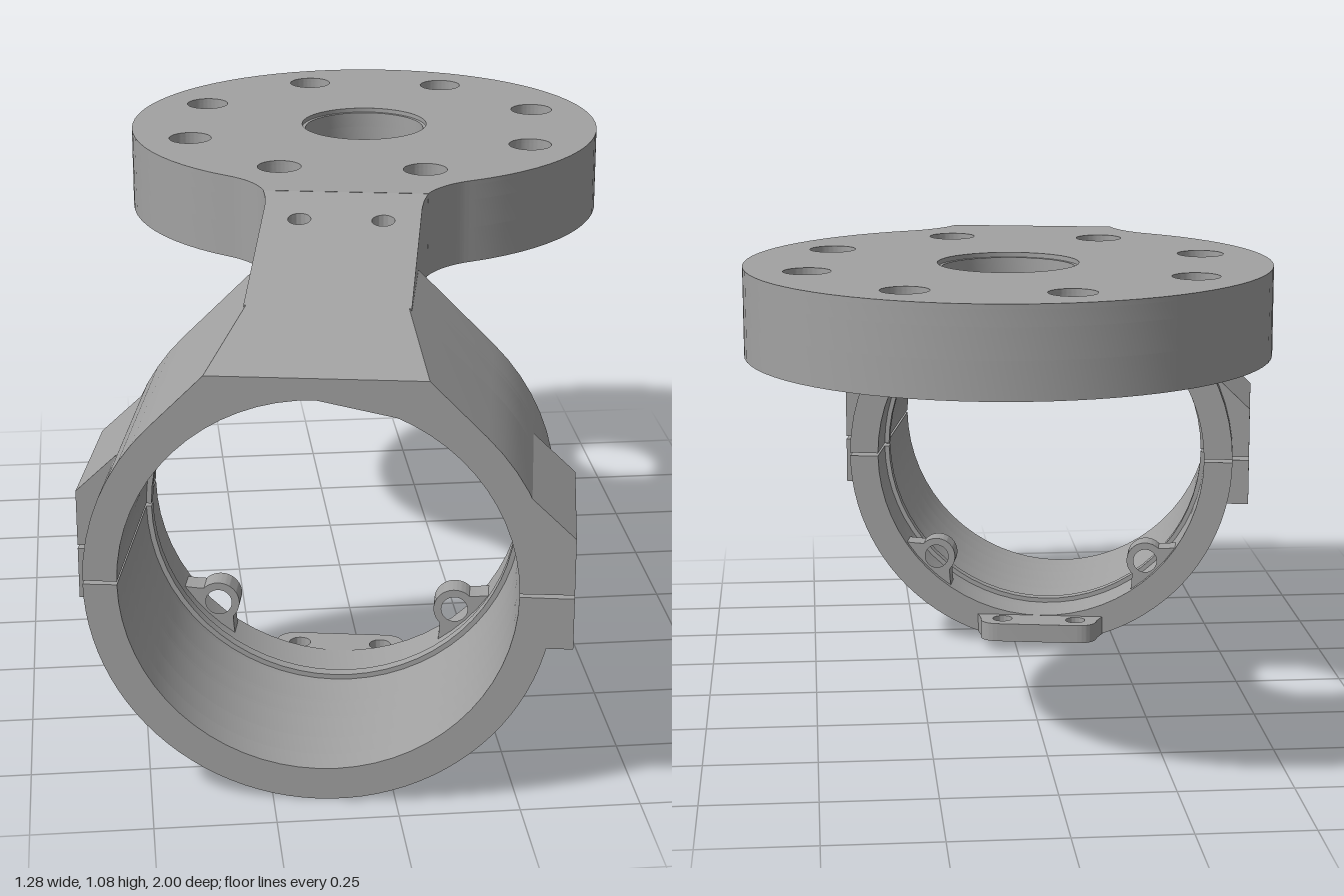
import * as THREE from 'three';
import { toCreasedNormals } from 'three/addons/utils/BufferGeometryUtils.js';

// Local frame: origin under the disc centre, z runs along the clamp axis.
const CY = 0.475, R = 0.475, RI = 0.405, LIP = 0.394, GAP = 0.004;
const BACK = 0.82, FRONT = 1.372, BEND = 1.097, ARM_W = 0.172;
const topAt = z => Math.min(1.08, 0.925 + 0.2 * (FRONT - z));

const material = new THREE.MeshStandardMaterial({ color: 0xa2a2a2 });
material.name = 'grey plastic';

const polygon = pts => new THREE.Shape(pts.map(p => new THREE.Vector2(p[0], p[1])));

function addHole(shape, x, y, r) {
  const h = new THREE.Path();
  h.absarc(x, y, r, 0, Math.PI * 2, true);
  shape.holes.push(h);
}

function add(parent, geometry, name) {
  const m = new THREE.Mesh(toCreasedNormals(geometry, 0.45), material);
  m.name = name;
  parent.add(m);
  return m;
}

// Extrude a cross-section along the clamp axis
function alongAxis(shape, z0, z1) {
  return new THREE.ExtrudeGeometry(shape, { depth: z1 - z0, bevelEnabled: false, curveSegments: 24 })
    .translate(0, 0, z0);
}

// Extrude a plan outline (x, z) downwards from y1 to y0
function plan(shape, y0, y1) {
  return new THREE.ExtrudeGeometry(shape, { depth: y1 - y0, bevelEnabled: false, curveSegments: 32 })
    .rotateX(Math.PI / 2).translate(0, y1, 0);
}

function arc(r, a0, a1, n) {
  return Array.from({ length: n + 1 }, (_, i) => {
    const a = a0 + (a1 - a0) * i / n;
    return [r * Math.cos(a), CY + r * Math.sin(a)];
  });
}

// Disc outline with fillets flowing into the arm
function discOutline() {
  const f = 0.2, r = 0.56, cx = ARM_W + f, cz = Math.sqrt((r + f) ** 2 - cx ** 2);
  const t = Math.atan2(cz, cx);
  const end = Math.PI + Math.asin((cz - 0.6) / f);
  const s = new THREE.Shape();
  s.absarc(0, 0, r, Math.PI - t, Math.PI * 2 + t, false);
  s.absarc(cx, cz, f, t + Math.PI, end, true);
  s.absarc(-cx, cz, f, Math.PI - end, -t, true);
  return s;
}

function buildDisc(parent) {
  const layers = [
    // y0, y1, centre hole, screw hole
    [1.07, 1.08, 0.15, 0.05],
    [1.035, 1.07, 0.142, 0.05],
    [0.97, 1.035, 0.142, 0.03],
  ];
  for (const [y0, y1, rc, rs] of layers) {
    const s = discOutline();
    addHole(s, 0, 0, rc);
    for (let i = 0; i < 8; i++) {
      const a = (i + 0.5) * Math.PI / 4;
      addHole(s, 0.435 * Math.cos(a), 0.435 * Math.sin(a), rs);
    }
    add(parent, plan(s, y0, y1), 'discPlate');
  }
  const rim = discOutline();
  addHole(rim, 0, 0, 0.53);
  add(parent, plan(rim, 0.89, 0.97), 'discRim');
}

// Arm: plan outline whose top follows the slope
function armPiece(parent, shape, bottomAt) {
  const g = plan(shape, 0, 1), p = g.attributes.position;
  for (let i = 0; i < p.count; i++) {
    p.setY(i, p.getY(i) > 0.5 ? topAt(p.getZ(i)) : bottomAt(p.getZ(i)));
  }
  g.computeVertexNormals();
  add(parent, g, 'arm');
}

function buildArm(parent) {
  const w = ARM_W;
  const neck = polygon([[-w, BACK], [-w, 0.663], [-w - 0.003, 0.63], [-w - 0.01, 0.6],
    [w + 0.01, 0.6], [w + 0.003, 0.63], [w, 0.663], [w, BACK]]);
  for (const x of [-0.091, 0.091]) addHole(neck, x, 0.727, 0.025);
  armPiece(parent, neck, z => 0.89 - 0.015 * (z - 0.6) / (BACK - 0.6));
  armPiece(parent, polygon([[-w, BACK], [w, BACK], [w, BEND], [-w, BEND]]), () => 0.93);
}

const innerRadius = z => (z > 0.94 && z < 0.965 ? LIP : RI);

// Upper half: round sides, 45 degree shoulders, sloping flat top
function buildUpperClamp(parent) {
  const cuts = [BACK, 0.94, 0.965, BEND, FRONT], e = GAP / R, q = Math.PI / 4;
  const sh = 0.98 - CY, su = R * Math.SQRT2 - sh;
  for (let i = 0; i + 1 < cuts.length; i++) {
    const ri = innerRadius((cuts[i] + cuts[i + 1]) / 2);
    const s = polygon([...arc(R, e, q, 8), [su, CY + sh], [-su, CY + sh],
      ...arc(R, 3 * q, Math.PI - e, 8), ...arc(ri, Math.PI - e, e, 32)]);
    const g = alongAxis(s, cuts[i], cuts[i + 1]), p = g.attributes.position;
    for (let k = 0; k < p.count; k++) {
      const drop = p.getY(k) - topAt(p.getZ(k));
      if (drop > 0) {
        p.setY(k, p.getY(k) - drop);
        p.setX(k, p.getX(k) + Math.sign(p.getX(k)) * drop);
      }
    }
    g.computeVertexNormals();
    add(parent, g, 'upperClamp');
  }
}

const BLOCKS = [
  { side: 1, z0: 1.017, z1: FRONT },
  { side: -1, z0: 0.853, z1: 1.197 },
];

// Lower half, with screw clearance notches below the blocks
function buildLowerClamp(parent) {
  const notches = [];
  for (const b of BLOCKS) {
    for (const d of [-0.08, 0.08]) {
      const c = (b.z0 + b.z1) / 2 + d;
      notches.push({ side: b.side, z0: c - 0.036, z1: c + 0.036 });
    }
  }
  const cuts = [BACK, 0.94, 0.965, FRONT, ...notches.flatMap(n => [n.z0, n.z1])].sort((a, b) => a - b);
  const e = GAP / R;
  for (let i = 0; i + 1 < cuts.length; i++) {
    if (cuts[i + 1] - cuts[i] < 1e-4) continue;
    const mid = (cuts[i] + cuts[i + 1]) / 2;
    const outer = arc(R, Math.PI + e, Math.PI * 2 - e, 48);
    for (const n of notches) {
      if (mid < n.z0 || mid > n.z1) continue;
      for (const p of outer) if (p[1] < 0.37 && p[0] * n.side > 0.43) p[0] = 0.43 * n.side;
    }
    const s = polygon([...outer, ...arc(innerRadius(mid), Math.PI * 2 - e, Math.PI + e, 32)]);
    add(parent, alongAxis(s, cuts[i], cuts[i + 1]), 'lowerClamp');
  }
}

// Screw blocks on both sides of the split
function buildBlocks(parent) {
  const upper = [[0.44, CY + GAP], [0.515, CY + GAP], [0.515, 0.6], [0.42, 0.69], [0.41, 0.66]];
  const lower = [[0.42, 0.36], [0.515, 0.36], [0.515, CY - GAP], [0.44, CY - GAP]];
  for (const b of BLOCKS) {
    for (const [pts, name] of [[upper, 'upperBlock'], [lower, 'lowerBlock']]) {
      const s = polygon(pts.map(([x, y]) => [x * b.side, y]));
      add(parent, alongAxis(s, b.z0, b.z1), name);
    }
  }
}

// Four screw ears inside the rear opening
function buildEars(parent) {
  for (let i = 0; i < 4; i++) {
    const s = new THREE.Shape();
    s.moveTo(0.415, -0.1);
    s.quadraticCurveTo(0.385, -0.06, 0.37, -0.046);
    s.absarc(0.37, 0, 0.046, -Math.PI / 2, Math.PI / 2, true);
    s.quadraticCurveTo(0.385, 0.06, 0.415, 0.1);
    s.lineTo(0.435, 0);
    addHole(s, 0.37, 0, 0.029);
    const ear = add(parent, alongAxis(s, 0.835, 0.89), 'screwEar');
    ear.position.y = CY;
    ear.rotation.z = Math.PI / 4 + i * Math.PI / 2;
  }
}

// Drilled tab at the bottom of the rear edge
function buildTab(parent) {
  const w = 0.145, z = 0.735, c = 0.05;
  const s = new THREE.Shape();
  s.moveTo(-w - 0.02, BACK + 0.03);
  s.lineTo(-w, z + c);
  s.quadraticCurveTo(-w, z, -w + c, z);
  s.lineTo(w - c, z);
  s.quadraticCurveTo(w, z, w, z + c);
  s.lineTo(w + 0.02, BACK + 0.03);
  for (const x of [-0.091, 0.091]) addHole(s, x, 0.785, 0.024);
  add(parent, plan(s, 0.025, 0.07), 'rearTab');
}

export function createModel() {
  const model = new THREE.Group();
  model.name = 'clampBracket';
  const body = new THREE.Group();
  body.name = 'bracketBody';
  buildDisc(body);
  buildArm(body);
  buildUpperClamp(body);
  buildLowerClamp(body);
  buildBlocks(body);
  buildEars(body);
  buildTab(body);
  body.position.set(0.08, 0, -0.44);
  body.rotation.y = -Math.PI / 18;
  model.add(body);
  return model;
}
